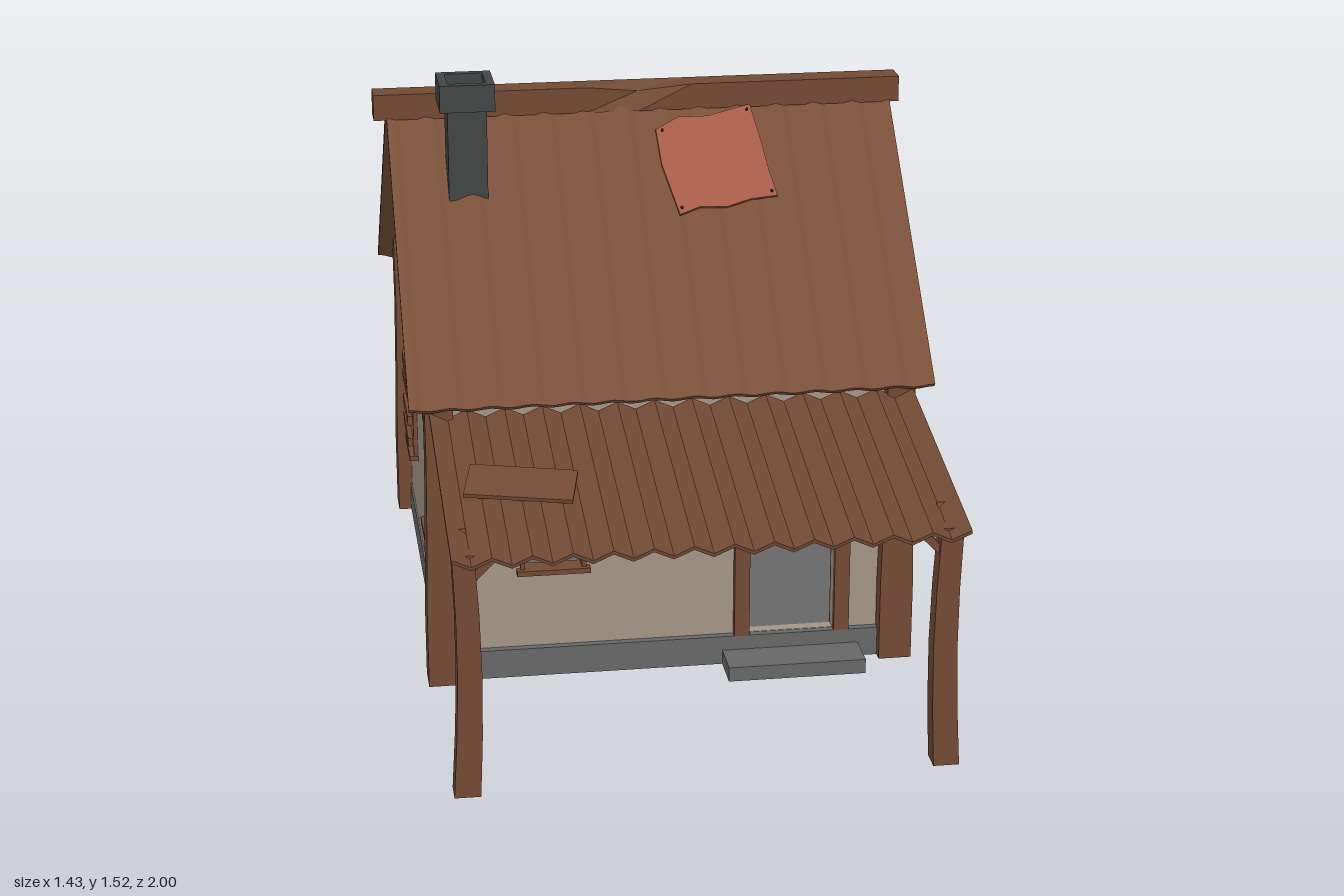
import * as THREE from 'three';

const mat = (name, color) => {
  const m = new THREE.MeshStandardMaterial({ color });
  m.name = name;
  return m;
};

export function createModel() {
  const wall = mat('plaster', 0xa39588), wood = mat('wood', 0x714a33), tin = mat('roof', 0x7a5039);
  const stone = mat('stone', 0x676767), soot = mat('chimney', 0x434444), rust = mat('patch', 0xa55b46);
  const glass = mat('glass', 0x66696b), iron = mat('nail', 0x2c2421);
  const house = new THREE.Group();
  house.name = 'cottage';

  const add = (name, geo, m, parent = house) => {
    const mesh = new THREE.Mesh(geo, m);
    mesh.name = name;
    parent.add(mesh);
    return mesh;
  };
  // box given by its minimum and maximum on each axis
  const block = (name, m, x0, x1, y0, y1, z0, z1, parent) => {
    const b = add(name, new THREE.BoxGeometry(x1 - x0, y1 - y0, z1 - z0), m, parent);
    b.position.set((x0 + x1) / 2, (y0 + y1) / 2, (z0 + z1) / 2);
    return b;
  };
  const poly = (pts) => new THREE.Shape(pts.map(([x, y]) => new THREE.Vector2(x, y)));
  const hole = (x0, x1, y0, y1) => poly([[x0, y0], [x0, y1], [x1, y1], [x1, y0]]);
  const extrude = (shape, depth) => new THREE.ExtrudeGeometry(shape, { depth, bevelEnabled: false });
  // move every vertex by a rule, then shade flat
  const bend = (geo, rule) => {
    const g = geo.toNonIndexed(), p = g.attributes.position, v = new THREE.Vector3();
    for (let i = 0; i < p.count; i++) {
      rule(v.fromBufferAttribute(p, i));
      p.setXYZ(i, v.x, v.y, v.z);
    }
    g.computeVertexNormals();
    return g;
  };

  const RIDGE_Z = -0.317, RIDGE_Y = 1.415, SLOPE = 0.935, PITCH = Math.atan(SLOPE);
  const roofY = (z) => RIDGE_Y - Math.abs(z - RIDGE_Z) * SLOPE;

  // foundation and door step
  block('foundation', stone, -0.615, 0.615, 0, 0.08, -0.945, 0.31);
  block('doorStep', stone, 0.14, 0.51, 0, 0.04, 0.3, 0.42);

  // front and back walls
  const front = poly([[-0.6, 0.08], [0.6, 0.08], [0.6, 0.825], [-0.6, 0.825]]);
  front.holes.push(hole(-0.39, -0.235, 0.305, 0.605), hole(0.213, 0.443, 0.081, 0.59));
  add('frontWall', extrude(front, 0.03), wall).position.z = 0.26;
  block('backWall', wall, -0.6, 0.6, 0.08, 0.825, -0.93, -0.9);

  // gable walls
  for (const s of [-1, 1]) {
    const gable = poly([[-0.289, 0.08], [0.929, 0.08], [0.929, 0.825], [-RIDGE_Z, 1.395], [-0.289, 0.825]]);
    gable.holes.push(hole(-0.077, 0.077, 0.305, 0.605), hole(0.56, 0.715, 0.305, 0.605));
    const g = extrude(gable, 0.03).rotateY(Math.PI / 2);
    add('gableWall', g, wall).position.x = s > 0 ? 0.58 : -0.61;
    block('gableBeam', wood, s > 0 ? 0.59 : -0.635, s > 0 ? 0.635 : -0.59, 0.76, 0.825, -0.9, 0.27);
  }

  // corner posts, flared at the foot and cut to the roof slope
  for (const s of [-1, 1]) for (const z of [0.295, -0.926]) {
    const g = bend(new THREE.BoxGeometry(0.076, 0.86, 0.076, 1, 4, 1), (v) => {
      const t = v.y / 0.86 + 0.5, k = 1.16 - 0.22 * t + 0.06 * Math.sin(t * 7);
      v.set(s * 0.607 + v.x * k, t * 0.86, z + v.z * k);
      if (t > 0.99) v.y = roofY(v.z) - 0.015;
    });
    add('cornerPost', g, wood);
  }

  // window trim in its own plane, facing +z
  const windowFrame = (name, w, h, x, y, z, turn) => {
    const g = new THREE.Group();
    g.name = name;
    g.position.set(x, y, z);
    g.rotation.y = turn;
    const a = w / 2, t = 0.012;
    for (const s of [-1, 1]) {
      const c = s * (a - t / 2);
      block('frameSide', wood, c - t / 2, c + t / 2, 0, h, -0.034, 0.012, g);
    }
    block('frameTop', wood, -a, a, h - t, h, -0.034, 0.014, g);
    block('sill', wood, -a - 0.01, a + 0.01, -0.008, 0.006, -0.034, 0.025, g);
    house.add(g);
    return g;
  };
  const boards = (g, rows) => rows.forEach(([y, tilt, h]) => {
    const b = block('board', wood, -0.098, 0.098, y - h / 2, y + h / 2, 0.014, 0.028, g);
    b.rotation.z = tilt;
  });
  windowFrame('frontWindow', 0.175, 0.315, -0.3125, 0.3, 0.29, 0);
  for (const s of [-1, 1]) {
    const turn = s * Math.PI / 2;
    const near = windowFrame('sideWindowFront', 0.175, 0.31, s * 0.61, 0.3, 0, turn);
    const far = windowFrame('sideWindowBack', 0.175, 0.31, s * 0.61, 0.3, -0.6375, turn);
    if (s > 0) boards(near, [[0.243, -0.05, 0.028], [0.18, 0.01, 0.025], [0.093, -0.01, 0.026], [0.033, 0.04, 0.024]]);
    else boards(far, [[0.245, -0.05, 0.032], [0.197, 0.02, 0.026], [0.115, 0.01, 0.028], [0.055, -0.05, 0.026]]);
    const attic = windowFrame('atticWindow', 0.145, 0.255, s * 0.61, 0.895, -0.3125, turn);
    block('atticPane', glass, -0.065, 0.065, 0.005, 0.25, 0, 0.006, attic);
    block('atticBar', wood, -0.065, 0.065, 0.122, 0.132, 0, 0.012, attic);
  }

  // door frame
  block('doorJamb', wood, 0.172, 0.213, 0.08, 0.595, 0.25, 0.312);
  block('doorJamb', wood, 0.443, 0.484, 0.08, 0.595, 0.25, 0.312);
  block('doorLintel', wood, 0.168, 0.49, 0.59, 0.635, 0.25, 0.318);

  // corrugated sheet running from its top edge towards +z
  const sheet = (x0, x1, length, pitch, waves, steps, amp, thick) => {
    const top = [], n = waves * steps;
    for (let i = 0; i <= n; i++) {
      top.push([x0 + (x1 - x0) * i / n, amp * Math.cos(2 * Math.PI * i / steps)]);
    }
    const under = top.map(([x, y]) => [x, y - thick]).reverse();
    return extrude(poly([...top, ...under]), length).rotateX(pitch);
  };

  // main roof
  const run = Math.hypot(1, SLOPE);
  add('frontRoof', sheet(-0.685, 0.69, 0.67 * run, PITCH, 13, 6, 0.006, 0.013), tin).position.set(0, RIDGE_Y, RIDGE_Z);
  add('backRoof', sheet(-0.69, 0.685, 0.68 * run, PITCH, 13, 6, 0.006, 0.013).rotateY(Math.PI), tin)
    .position.set(0, RIDGE_Y, RIDGE_Z);

  // ridge beam with a chipped front edge
  const ridge = bend(new THREE.BoxGeometry(1.435, 0.07, 0.073, 10, 1, 1), (v) => {
    if (Math.abs(v.x) < 0.01 && v.y > 0 && v.z > 0) {
      v.y -= 0.022;
      v.z -= 0.032;
    }
  });
  add('ridgeBeam', ridge, wood).position.set(-0.002, 1.418, -0.317);

  // chimney with an open cap
  const tube = (name, a, b, y0, y1) => {
    const s = poly([[-a, -a], [a, -a], [a, a], [-a, a]]);
    s.holes.push(hole(-b, b, -b, b));
    add(name, extrude(s, y1 - y0).rotateX(-Math.PI / 2), soot).position.set(-0.483, y0, -0.153);
  };
  tube('chimneyShaft', 0.052, 0.04, 1.2, 1.46);
  tube('chimneyCap', 0.073, 0.05, 1.452, 1.525);
  block('chimneyPlug', soot, -0.53, -0.436, 1.4, 1.44, -0.2, -0.106);

  // nailed metal patch on the front slope
  const patch = new THREE.Group();
  patch.name = 'roofPatch';
  patch.position.set(0, 1.27, RIDGE_Z + (RIDGE_Y - 1.27) / SLOPE);
  patch.rotation.x = PITCH - Math.PI / 2;
  const onSlope = ([x, y]) => [x, (y - 1.27) / Math.sin(PITCH)];
  const outline = [[0.035, 1.335], [0.1, 1.36], [0.18, 1.36], [0.3, 1.382], [0.318, 1.3], [0.328, 1.24],
    [0.342, 1.185], [0.27, 1.18], [0.2, 1.165], [0.13, 1.168], [0.073, 1.153], [0.04, 1.26]];
  add('patchSheet', extrude(poly(outline.map(onSlope)), 0.008), rust, patch).position.z = 0.008;
  for (const p of [[0.052, 1.332], [0.29, 1.37], [0.08, 1.167], [0.328, 1.194]].map(onSlope)) {
    const nail = add('nail', new THREE.CylinderGeometry(0.004, 0.004, 0.006, 6).rotateX(Math.PI / 2), iron, patch);
    nail.position.set(p[0], p[1], 0.018);
  }
  house.add(patch);

  // porch roof with a loose plank
  const porchPitch = Math.atan2(0.12, 0.68);
  add('porchRoof', sheet(-0.632, 0.637, Math.hypot(0.12, 0.68), porchPitch, 13, 2, 0.012, 0.01), wood)
    .position.set(0, 0.763, 0.32);
  const plank = add('loosePlank', new THREE.BoxGeometry(0.27, 0.01, 0.14), wood);
  plank.position.set(-0.433, 0.716, 0.698);
  plank.rotation.set(porchPitch, -0.21, 0);

  // porch posts and braces
  for (const s of [-1, 1]) {
    const g = bend(new THREE.BoxGeometry(0.055, 0.645, 0.05, 1, 4, 1), (v) => {
      const t = v.y / 0.645 + 0.5, k = 1.2 - 0.2 * t;
      v.set(s * (0.602 - 0.012 * Math.sin(t * 3)) + v.x * k, t * 0.645, 0.935 + v.z * k);
    });
    add('porchPost', g, wood);
    const side = add('porchBrace', new THREE.BoxGeometry(0.1, 0.02, 0.025), wood);
    side.position.set(s * 0.548, 0.608, 0.935);
    side.rotation.z = -s * 0.8;
    const back = add('porchBrace', new THREE.BoxGeometry(0.025, 0.02, 0.11), wood);
    back.position.set(s * 0.597, 0.622, 0.878);
    back.rotation.x = 0.75;
  }
  return house;
}
